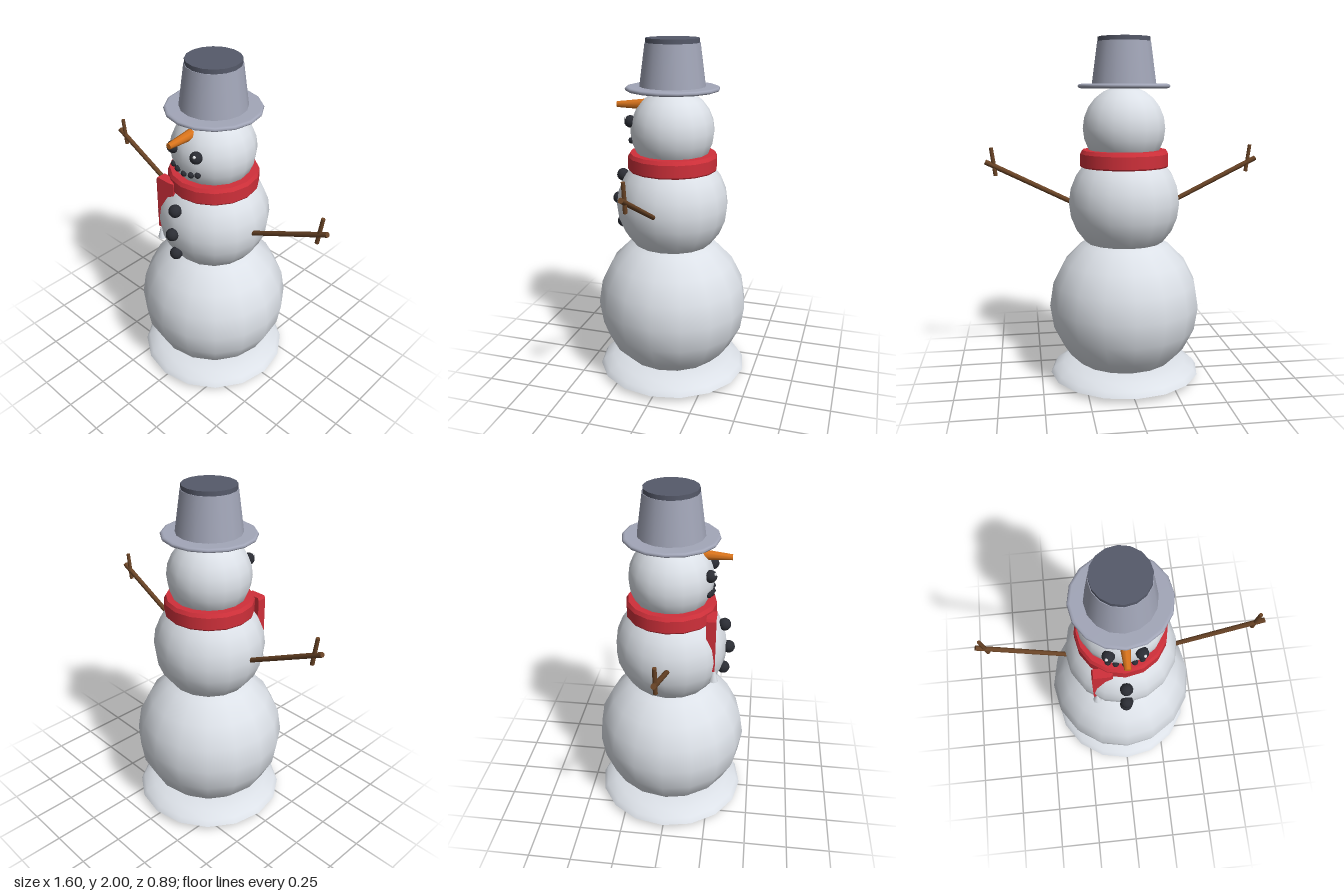
import * as THREE from 'three';

const mat = (name, color, side = THREE.FrontSide) => {
  const m = new THREE.MeshStandardMaterial({ color, side });
  m.name = name;
  return m;
};

export function createModel() {
  const group = new THREE.Group();
  const snow = mat('snow', 0xe4e9f0);
  const hatGrey = mat('hat grey', 0xa2a6b8);
  const hatDark = mat('hat dark', 0x565a6a);
  const red = mat('scarf red', 0xd0303a);
  const coal = mat('coal', 0x2b2d34);
  const orange = mat('carrot', 0xd9741c);
  const wood = mat('wood', 0x6a4426);
  const glint = mat('glint', 0xf5f7fa);

  const add = (name, geo, material, x = 0, y = 0, z = 0) => {
    const mesh = new THREE.Mesh(geo, material);
    mesh.name = name;
    mesh.position.set(x, y, z);
    group.add(mesh);
    return mesh;
  };
  const ball = (name, r, material, x, y, z, w = 10, h = 8) =>
    add(name, new THREE.SphereGeometry(r, w, h), material, x, y, z);
  // Profile pairs run from bottom to top on the outside
  const lathe = (name, pts, material) => {
    const geo = new THREE.LatheGeometry(pts.map(p => new THREE.Vector2(...p)), 16);
    return add(name, geo, material);
  };
  // Round bar between two points
  const bar = (name, a, b, r0, r1, material, sides = 8) => {
    const p = new THREE.Vector3(...a), q = new THREE.Vector3(...b);
    const d = q.clone().sub(p);
    const mesh = add(name, new THREE.CylinderGeometry(r1, r0, d.length(), sides), material);
    mesh.position.copy(p).add(q).multiplyScalar(0.5);
    mesh.quaternion.setFromUnitVectors(new THREE.Vector3(0, 1, 0), d.normalize());
    return mesh;
  };

  // Snow drift: shallow dome with a flat underside
  lathe('snowDrift', [[0.445, 0.03], [0.425, 0.06], [0.37, 0.09], [0.29, 0.112], [0.15, 0.125], [0, 0.13]], snow);
  const under = add('snowDriftBase', new THREE.CircleGeometry(0.445, 16), snow, 0, 0.03, 0);
  under.rotation.x = Math.PI / 2;

  // Three snowballs
  ball('lowerBody', 0.445, snow, 0, 0.447, 0, 16, 10);
  ball('upperBody', 0.325, snow, 0, 1.06, 0, 16, 12);
  ball('head', 0.24, snow, 0, 1.49, 0, 16, 12);

  // Hat
  lathe('hatBrim', [[0, 1.715], [0.25, 1.715], [0.262, 1.719], [0.267, 1.727],
    [0.262, 1.736], [0.25, 1.74], [0, 1.74]], hatGrey);
  add('hatCrown', new THREE.CylinderGeometry(0.154, 0.188, 0.25, 16), hatGrey, 0, 1.85, 0);
  add('hatTop', new THREE.CylinderGeometry(0.151, 0.151, 0.03, 16), hatDark, 0, 1.985, 0);

  // Scarf: wrapped band with chamfered rim, flat shaded across its profile
  const band = [[0.19, 1.268], [0.252, 1.268], [0.257, 1.276], [0.257, 1.345], [0.245, 1.366], [0.19, 1.366]];
  for (let i = 0; i < band.length - 1; i++) lathe('scarfBand', [band[i], band[i + 1]], red);

  // Scarf tail, sinking into the body at its lower end
  const tail = new THREE.Shape();
  tail.moveTo(-0.183, 1.0);
  tail.lineTo(-0.075, 1.0);
  tail.lineTo(-0.068, 1.325);
  tail.lineTo(-0.085, 1.335);
  tail.lineTo(-0.175, 1.335);
  tail.lineTo(-0.183, 1.32);
  tail.closePath();
  const tailGeo = new THREE.ExtrudeGeometry(tail, { depth: 0.055, bevelEnabled: false });
  // Right-hand edge is set back to give a slanted side
  const pos = tailGeo.attributes.position;
  for (let i = 0; i < pos.count; i++)
    if (pos.getZ(i) > 0.05 && pos.getX(i) > -0.08) pos.setZ(i, 0.037);
  tailGeo.computeVertexNormals();
  add('scarfTail', tailGeo, red, 0, 0, 0.212);
  add('scarfTassel', new THREE.CylinderGeometry(0.008, 0.026, 0.07, 8), snow, -0.163, 0.963, 0.262);

  // Coal buttons
  for (const [y, z] of [[1.21, 0.305], [1.065, 0.333], [0.922, 0.308]])
    ball('button', 0.037, coal, 0, y, z, 12, 8);

  // Eyes, smile, arms
  for (const s of [-1, 1]) {
    ball('eye', 0.035, coal, s * 0.086, 1.545, 0.222, 12, 8);
    ball('eyeGlint', 0.009, glint, s * 0.098, 1.563, 0.247, 8, 6);
    bar('arm', [s * 0.27, 1.045, 0.015], [s * 0.795, 1.305, 0.015], 0.014, 0.015, wood);
    bar('twig', [s * 0.738, 1.225, 0.015], [s * 0.76, 1.385, 0.015], 0.012, 0.011, wood);
  }
  for (const [x, y] of [[-0.09, 1.438], [-0.05, 1.427], [0, 1.419], [0.05, 1.427], [0.09, 1.438]])
    ball('mouthCoal', 0.018, coal, x, y, Math.sqrt(0.0576 - x * x - (y - 1.49) ** 2), 8, 6);

  // Carrot nose
  bar('nose', [0, 1.632, 0.16], [0, 1.624, 0.332], 0.031, 0.017, orange);

  return group;
}
